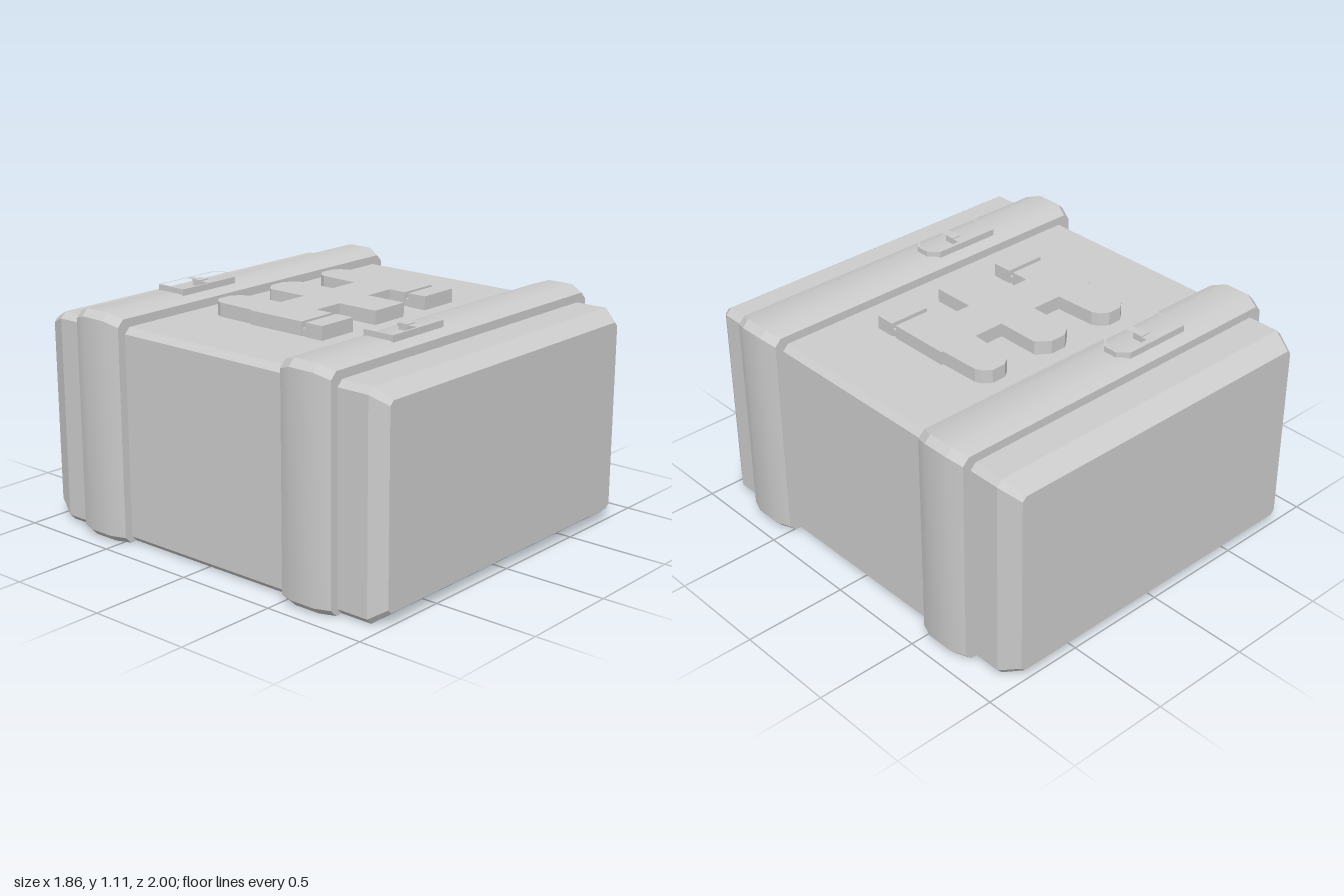
import * as THREE from 'three';
import { toCreasedNormals } from 'three/addons/utils/BufferGeometryUtils.js';

const material = new THREE.MeshStandardMaterial({ color: 0xcccccc });

function addMesh(parent, name, geometry) {
  const mesh = new THREE.Mesh(geometry, material);
  mesh.name = name;
  parent.add(mesh);
  return mesh;
}

// Rectangle with cut corners: half width w, from y0 to y1, corner cut c
function ring({ z, w, y0, y1, c }) {
  return [
    [w - c, y0], [w, y0 + c], [w, y1 - c], [w - c, y1],
    [c - w, y1], [-w, y1 - c], [-w, y0 + c], [c - w, y0],
  ].map(([x, y]) => new THREE.Vector3(x, y, z));
}

// Skin over rings ordered from back to front, closed at both ends
function loft(sections, crease) {
  const rings = sections.map(ring);
  const pos = [];
  const tri = (...v) => v.forEach(p => pos.push(p.x, p.y, p.z));
  for (let i = 0; i < rings.length - 1; i++) {
    for (let j = 0; j < 8; j++) {
      const k = (j + 1) % 8;
      const a = rings[i][j], b = rings[i][k], c = rings[i + 1][k], d = rings[i + 1][j];
      tri(a, b, c);
      tri(a, c, d);
    }
  }
  const back = rings[0], front = rings[rings.length - 1];
  for (let j = 1; j < 7; j++) {
    tri(back[0], back[j + 1], back[j]);
    tri(front[0], front[j], front[j + 1]);
  }
  const g = new THREE.BufferGeometry();
  g.setAttribute('position', new THREE.Float32BufferAttribute(pos, 3));
  return toCreasedNormals(g, crease);
}

// Flat plate from [x, z] outlines, rising from y = 0
function plate(outline, height, holes = []) {
  const points = list => list.map(([x, z]) => new THREE.Vector2(x, -z));
  const shape = new THREE.Shape(points(outline));
  holes.forEach(h => shape.holes.push(new THREE.Path(points(h))));
  return new THREE.ExtrudeGeometry(shape, { depth: height, bevelEnabled: false }).rotateX(-Math.PI / 2);
}

// Raised band wrapped around the case, with a gently crowned profile
function makeStrap(z) {
  const group = new THREE.Group();
  group.name = 'strap';
  const profile = [
    [-0.136, 0.86, 1.005], [-0.136, 0.905, 1.05], [-0.065, 0.932, 1.075],
    [0.065, 0.932, 1.075], [0.136, 0.905, 1.05], [0.136, 0.86, 1.005],
  ];
  addMesh(group, 'strapBand', loft(profile.map(([dz, w, y1]) => ({ z: dz, w, y0: 0, y1, c: 0.032 })), 0.42));

  // Buckle frame with two openings and a small prong on its crossbar
  const frame = [[-0.45, -0.08], [-0.11, -0.08], [-0.065, -0.035], [-0.065, 0.035], [-0.11, 0.08], [-0.45, 0.08]];
  const square = [[-0.44, -0.07], [-0.28, -0.07], [-0.286, 0], [-0.28, 0.07], [-0.44, 0.07]];
  const pointed = [[-0.24, -0.07], [-0.115, -0.07], [-0.075, -0.03], [-0.075, 0.03], [-0.115, 0.07], [-0.24, 0.07], [-0.234, 0]];
  addMesh(group, 'buckle', plate(frame, 0.045, [square, pointed])).position.y = 1.056;
  addMesh(group, 'bucklePin', new THREE.BoxGeometry(0.05, 0.03, 0.05)).position.set(-0.26, 1.091, 0);

  group.position.z = z;
  return group;
}

// Raised relief: three round-nosed bars joined by a crossbar
function makeRelief() {
  const group = new THREE.Group();
  group.name = 'lidRelief';
  const right = [
    [0.1, 0.115], [0.255, 0.115], [0.255, 0.205], [0.455, 0.205], [0.455, -0.1], [0.445, -0.1],
    [0.44, -0.3], [0.425, -0.33], [0.39, -0.358], [0.32, -0.358], [0.28, -0.33], [0.265, -0.3],
    [0.255, -0.1], [0.1, -0.1], [0.1, -0.31], [0.085, -0.325], [0.04, -0.358],
  ];
  const left = right.map(([x, z]) => [-x, z]).reverse();
  const outline = [[0.1, 0.325], ...right, ...left, [-0.1, 0.325]];
  addMesh(group, 'bars', plate(outline, 0.07));
  // Rims behind a shallow groove at the ends of the outer bars
  for (const x of [-0.355, 0.355]) {
    addMesh(group, 'barGroove', new THREE.BoxGeometry(0.19, 0.04, 0.03)).position.set(x, 0.02, 0.2175);
    addMesh(group, 'barRim', new THREE.BoxGeometry(0.204, 0.07, 0.095)).position.set(x, 0.035, 0.2775);
  }
  group.position.y = 1.005;
  return group;
}

export function createModel() {
  const model = new THREE.Group();
  model.name = 'strappedCase';

  // Case with bevelled ends and edges
  const full = { w: 0.865, y0: 0, y1: 1.01, c: 0.028 };
  const end = { w: 0.82, y0: 0.055, y1: 0.96, c: 0.02 };
  addMesh(model, 'caseBody', loft([
    { z: -1, ...end }, { z: -0.9, ...full }, { z: 0.925, ...full }, { z: 1, ...end },
  ], 0.42));

  model.add(makeStrap(0.63), makeStrap(-0.608), makeRelief());
  return model;
}
